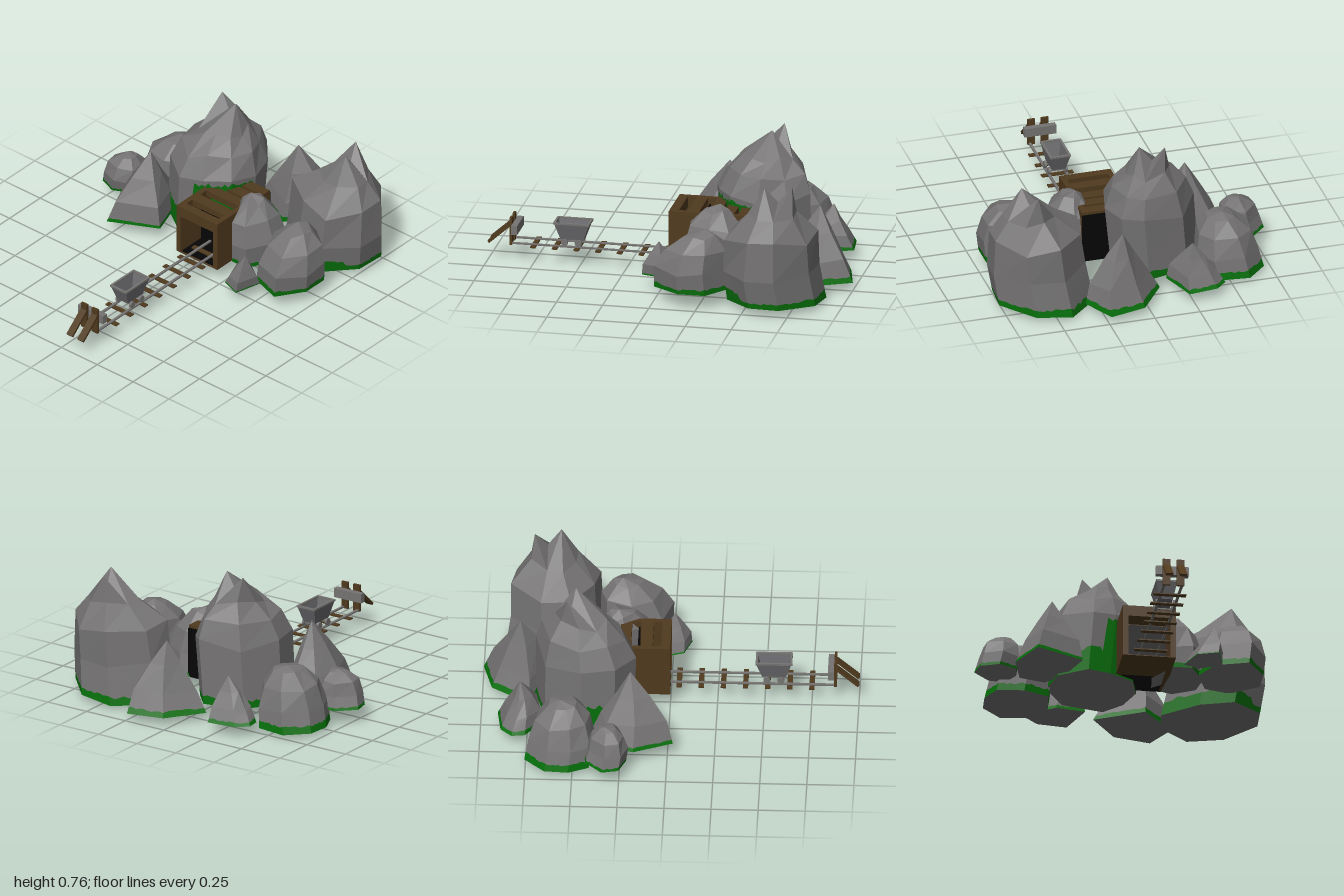
import * as THREE from 'three';

const mat = (name, color, side = THREE.FrontSide) => {
  const m = new THREE.MeshStandardMaterial({ color, side });
  m.name = name;
  return m;
};
const stone = mat('stone', 0x757373);
const moss = mat('moss', 0x07700b);
const wood = mat('wood', 0x503a1e);
const shadow = mat('tunnelBlack', 0x060606);
const iron = mat('iron', 0x757472);
const cartGrey = mat('cartGrey', 0x6a6a6e, THREE.DoubleSide);

let seed = 7;
const rand = () => (seed = (seed * 16807) % 2147483647) / 2147483647;
const lerp = (a, b, t) => a.map((v, i) => v + (b[i] - v) * t);

// Box given by its minimum and maximum corners
function box(parent, name, material, x0, x1, y0, y1, z0, z1) {
  const m = new THREE.Mesh(new THREE.BoxGeometry(x1 - x0, y1 - y0, z1 - z0), material);
  m.position.set((x0 + x1) / 2, (y0 + y1) / 2, (z0 + z1) / 2);
  m.name = name;
  parent.add(m);
  return m;
}

// Faceted boulder: ground outline lofted through scaled rings [height, scale] to one or two peaks,
// with a ragged moss band cut into the lowest wall. tilt slopes the underside along x,
// lean pushes everything above the foot towards +x and +z
function rock(name, { outline, base, rings, peaks, mossAt, tilt = 0, lean = 0.015 }) {
  const n = outline.length, sub = 9;
  const cx = outline.reduce((s, p) => s + p[0], 0) / n;
  const cz = outline.reduce((s, p) => s + p[1], 0) / n;
  const mid = peaks.reduce((s, p) => [s[0] + p[0] / peaks.length, s[1] + p[2] / peaks.length], [0, 0]);
  const top = peaks[0][1];
  const loops = rings.map(([y, s], k) => outline.map(([x, z]) => {
    const f = ((y - base) / (top - base)) ** 2;
    const j = k < 2 ? 1 : 0.93 + rand() * 0.14;
    const dy = k < 1 ? tilt * (x - cx) : (rand() - 0.5) * 0.07 * (top - base);
    const push = k < 1 ? 0 : lean;
    return [
      cx + (x - cx) * s * j + (mid[0] - cx) * f + push,
      y + dy,
      cz + (z - cz) * s * j + (mid[1] - cz) * f + push,
    ];
  }));
  const tris = [[], []];
  const tri = (m, a, b, c) => tris[m].push(...a, ...b, ...c);
  const quad = (m, a, b, c, d) => { tri(m, a, c, b); tri(m, b, c, d); };

  // Lowest wall, split along the moss edge
  const [lo, hi] = loops;
  const edge = [];
  for (let i = 0; i < n; i++) for (let j = 0; j < sub; j++) {
    const l = lerp(lo[i], lo[(i + 1) % n], j / sub), h = lerp(hi[i], hi[(i + 1) % n], j / sub);
    const f = mossAt(l[0], l[2]);
    edge.push({ l, h, m: lerp(l, h, f + (rand() - 0.5) * Math.min(0.4 * f, 0.09)) });
  }
  edge.forEach((a, i) => {
    const b = edge[(i + 1) % edge.length];
    quad(1, a.l, b.l, a.m, b.m);
    quad(0, a.m, b.m, a.h, b.h);
  });

  // Upper walls and underside
  for (let i = 0; i < n; i++) {
    const q = (i + 1) % n;
    for (let k = 1; k < loops.length - 1; k++) quad(0, loops[k][i], loops[k][q], loops[k + 1][i], loops[k + 1][q]);
    tri(0, [cx, base, cz], lo[i], lo[q]);
  }

  // Fan to the nearest peak, with a low saddle between two peaks
  const last = loops[loops.length - 1];
  const dist = (p, v) => Math.hypot(p[0] - v[0], p[2] - v[2]);
  const near = v => peaks.reduce((a, b) => (dist(b, v) < dist(a, v) ? b : a));
  for (let i = 0; i < n; i++) {
    const a = last[i], b = last[(i + 1) % n], pa = near(a), pb = near(b);
    tri(0, pa, b, a);
    if (pa !== pb) {
      const saddle = lerp(pa, pb, 0.5);
      saddle[1] -= 0.08;
      tri(0, pa, saddle, b);
      tri(0, saddle, pb, b);
    }
  }

  const g = new THREE.BufferGeometry();
  g.setAttribute('position', new THREE.Float32BufferAttribute(tris.flat(), 3));
  g.addGroup(0, tris[0].length / 3, 0);
  g.addGroup(tris[0].length / 3, tris[1].length / 3, 1);
  g.computeVertexNormals();
  const m = new THREE.Mesh(g, [stone, moss]);
  m.name = name;
  return m;
}

const DOME = [[0, 0.98], [0.35, 0.95], [0.7, 0.78], [0.92, 0.4]];
const SPIRE = [[0, 1], [0.32, 0.8], [0.65, 0.42]];
const small = (name, profile, base, peak, mossFrac, outline) => rock(name, {
  outline, base, peaks: [peak], mossAt: () => mossFrac,
  rings: profile.map(([f, s]) => [base + f * (peak[1] - base), s]),
});

function buildRocks() {
  const g = new THREE.Group();
  g.name = 'rocks';
  g.add(
    rock('tallLeftRock', {
      outline: [[-.29, -.67], [-.05, -.73], [.05, -.62], [.1, -.46], [.06, -.3], [-.08, -.21], [-.21, -.17], [-.37, -.28], [-.41, -.47]],
      base: 0.08,
      rings: [[0.08, 0.94], [0.42, 0.96], [0.53, 0.78], [0.62, 0.48]],
      peaks: [[-.19, .77, -.54], [-.06, .77, -.5]],
      mossAt: (x, z) => (z < -0.45 ? 0.12 : x > -0.13 ? 0.92 : 0.38),
      lean: 0.025,
    }),
    rock('tallRightRock', {
      outline: [[.42, -.9], [.62, -.88], [.78, -.71], [.77, -.54], [.61, -.39], [.42, -.42], [.23, -.55], [.25, -.72]],
      base: 0.03,
      rings: [[0.03, 0.98], [0.22, 0.95], [0.41, 0.89], [0.53, 0.5]],
      peaks: [[.62, .68, -.6], [.57, .68, -.74]],
      mossAt: (x, z) => (z > -0.6 && x < 0.7 ? 0.4 : 0.2),
      tilt: 0.08,
      lean: 0.025,
    }),
    small('backLeftRock', DOME, .03, [-.5, .35, -.57], .35,
      [[-.71, -.65], [-.6, -.76], [-.43, -.74], [-.36, -.62], [-.38, -.45], [-.52, -.39], [-.67, -.41], [-.72, -.52]]),
    small('backSmallRock', SPIRE, .07, [-.27, .31, -.79], .25,
      [[-.38, -.89], [-.22, -.91], [-.15, -.7], [-.31, -.67], [-.43, -.76], [-.44, -.83]]),
    small('backPointedRock', SPIRE, .05, [.12, .43, -.8], .25,
      [[.04, -.95], [.24, -1], [.33, -.82], [.16, -.61], [-.1, -.75]]),
    small('frontLeftRock', SPIRE, .09, [-.4, .47, -.2], .15,
      [[-.55, -.37], [-.41, -.41], [-.32, -.31], [-.25, -.1], [-.51, .03], [-.6, -.18]]),
    small('outerLeftRock', DOME, .09, [-.66, .29, -.33], .22,
      [[-.71, -.43], [-.62, -.44], [-.57, -.35], [-.58, -.26], [-.68, -.21], [-.78, -.25], [-.8, -.34]]),
    small('tunnelSideRock', DOME, .09, [.23, .44, -.28], .2,
      [[.16, -.42], [.28, -.46], [.4, -.39], [.42, -.26], [.34, -.11], [.24, -.11], [.14, -.27]]),
    small('frontRightRock', DOME, .09, [.57, .41, -.27], .25,
      [[.44, -.37], [.58, -.41], [.73, -.3], [.73, -.15], [.63, .0], [.45, -.06], [.38, -.21]]),
    small('frontPebble', SPIRE, .09, [.44, .28, .01], .12,
      [[.29, -.08], [.38, -.12], [.49, -.05], [.45, .1], [.34, .06]]),
  );
  return g;
}

// Timber mine entrance with slatted roof
function buildTunnel() {
  const g = new THREE.Group();
  g.name = 'tunnel';
  box(g, 'leftWall', wood, .205, .235, .09, .38, -.43, 0);
  box(g, 'rightWall', wood, -.05, -.02, .09, .38, -.43, 0);
  box(g, 'frontBeam', wood, -.02, .205, .32, .38, -.05, 0);
  for (const [a, b] of [[-.16, -.095], [-.27, -.21], [-.35, -.29], [-.43, -.37]])
    box(g, 'roofPlank', wood, -.02, .205, .345, .38, a, b);
  box(g, 'floorBoards', wood, -.02, .205, .09, .094, -.25, 0);
  box(g, 'darkFloor', shadow, -.02, .205, .094, .098, -.25, -.01);
  box(g, 'darkRearFloor', shadow, -.02, .205, .09, .098, -.43, -.25);
  box(g, 'darkInside', shadow, -.02, .205, .098, .345, -.175, -.168);
  box(g, 'darkBack', shadow, -.05, .235, .09, .365, -.437, -.43);
  return g;
}

function buildTrack() {
  const g = new THREE.Group();
  g.name = 'track';
  for (const x of [.045, .14]) box(g, 'rail', iron, x - .007, x + .007, .104, .112, -.3, .88);
  for (let i = -3; i < 7; i++) {
    const z = .045 + i * .1175;
    box(g, 'sleeper', wood, .005, .18, .099, .106, z - .014, z + .014);
  }
  // End stop
  box(g, 'bufferBeam', iron, .002, .177, .165, .215, .835, .868);
  for (const x of [.056, .131]) {
    box(g, 'bufferPost', wood, x - .02, x + .02, .1, .25, .868, .882);
    const brace = box(g, 'bufferBrace', wood, x - .02, x + .02, -.007, .007, -.079, .079);
    brace.position.set(x, .159, .938);
    brace.rotation.x = Math.atan2(.105, .118);
  }
  return g;
}

function buildCart() {
  const g = new THREE.Group();
  g.name = 'mineCart';
  let geo = new THREE.CylinderGeometry(Math.SQRT1_2, Math.SQRT1_2 * 0.66, 1, 4, 1, true);
  geo = geo.rotateY(Math.PI / 4).scale(.113, .093, .19).toNonIndexed();
  geo.computeVertexNormals();
  const tub = new THREE.Mesh(geo, cartGrey);
  tub.name = 'tub';
  tub.position.set(.0925, .191, .547);
  g.add(tub);
  box(g, 'tubFloor', cartGrey, .055, .13, .143, .15, .484, .61);
  for (const [a, b] of [[.035, .047], [.138, .15]]) box(g, 'sideRim', iron, a, b, .23, .24, .45, .645);
  for (const [a, b] of [[.45, .462], [.633, .645]]) box(g, 'endRim', iron, .047, .138, .23, .24, a, b);
  for (const z of [.51, .585]) {
    box(g, 'axle', iron, .045, .14, .126, .134, z - .004, z + .004);
    for (const x of [.045, .14]) {
      const w = new THREE.Mesh(new THREE.CylinderGeometry(.019, .019, .012, 12), iron);
      w.name = 'wheel';
      w.rotation.z = Math.PI / 2;
      w.position.set(x, .13, z);
      g.add(w);
    }
  }
  return g;
}

export function createModel() {
  seed = 7;
  const model = new THREE.Group();
  model.name = 'mineEntrance';
  model.add(buildRocks(), buildTunnel(), buildTrack(), buildCart());
  return model;
}
